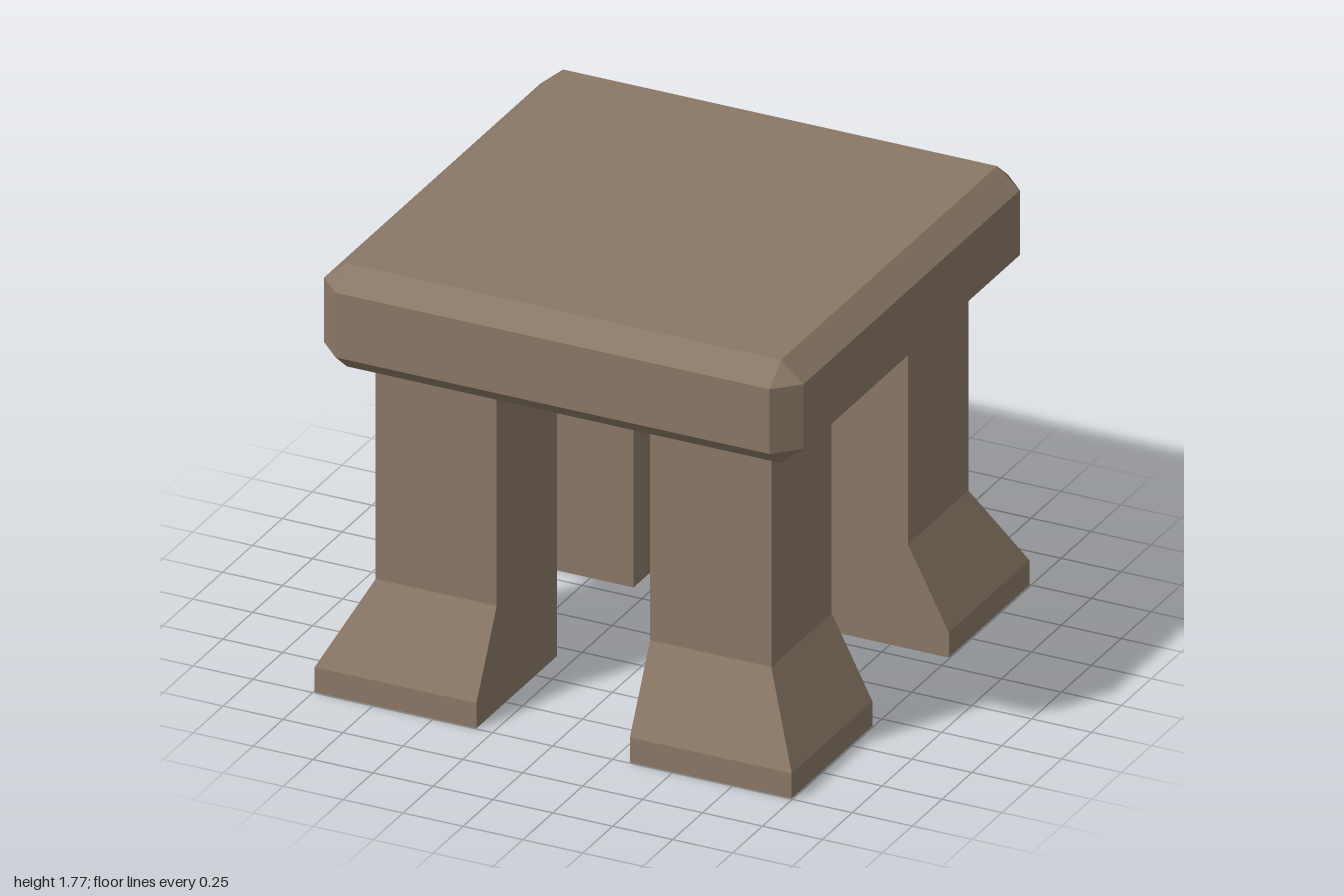
import * as THREE from 'three';
import { ConvexGeometry } from 'three/addons/geometries/ConvexGeometry.js';

const material = new THREE.MeshStandardMaterial({ color: 0x8a7866, flatShading: true });

// Square slab with every edge and corner chamfered
function createSeat() {
  const outer = 1, inset = 0.905;
  const centre = 1.555, halfHeight = 0.215, halfSide = 0.135;
  const points = [];
  for (const sx of [-1, 1]) for (const sy of [-1, 1]) for (const sz of [-1, 1]) {
    points.push(
      new THREE.Vector3(sx * inset, centre + sy * halfHeight, sz * inset),
      new THREE.Vector3(sx * outer, centre + sy * halfSide, sz * inset),
      new THREE.Vector3(sx * inset, centre + sy * halfSide, sz * outer)
    );
  }
  const seat = new THREE.Mesh(new ConvexGeometry(points), material);
  seat.name = 'seat';
  return seat;
}

// Square post whose two outer sides flare into a foot; inner sides stay upright
function createLeg(sx, sz, name) {
  const inner = 0.32;
  const levels = [0, 0.105, 0.435, 1.345];
  const outers = [0.995, 0.995, 0.825, 0.825];
  const geometry = new THREE.BoxGeometry(1, 3, 1, 1, 3, 1);
  const position = geometry.attributes.position;
  for (let i = 0; i < position.count; i++) {
    const level = Math.round(position.getY(i) + 1.5);
    const place = (v, side) => side * (v * side > 0 ? outers[level] : inner);
    position.setXYZ(i, place(position.getX(i), sx), levels[level], place(position.getZ(i), sz));
  }
  geometry.computeVertexNormals();
  const leg = new THREE.Mesh(geometry, material);
  leg.name = name;
  return leg;
}

export function createModel() {
  const stool = new THREE.Group();
  stool.name = 'stool';
  stool.add(
    createSeat(),
    createLeg(1, 1, 'frontLeftLeg'),
    createLeg(-1, 1, 'frontRightLeg'),
    createLeg(1, -1, 'backLeftLeg'),
    createLeg(-1, -1, 'backRightLeg')
  );
  return stool;
}
